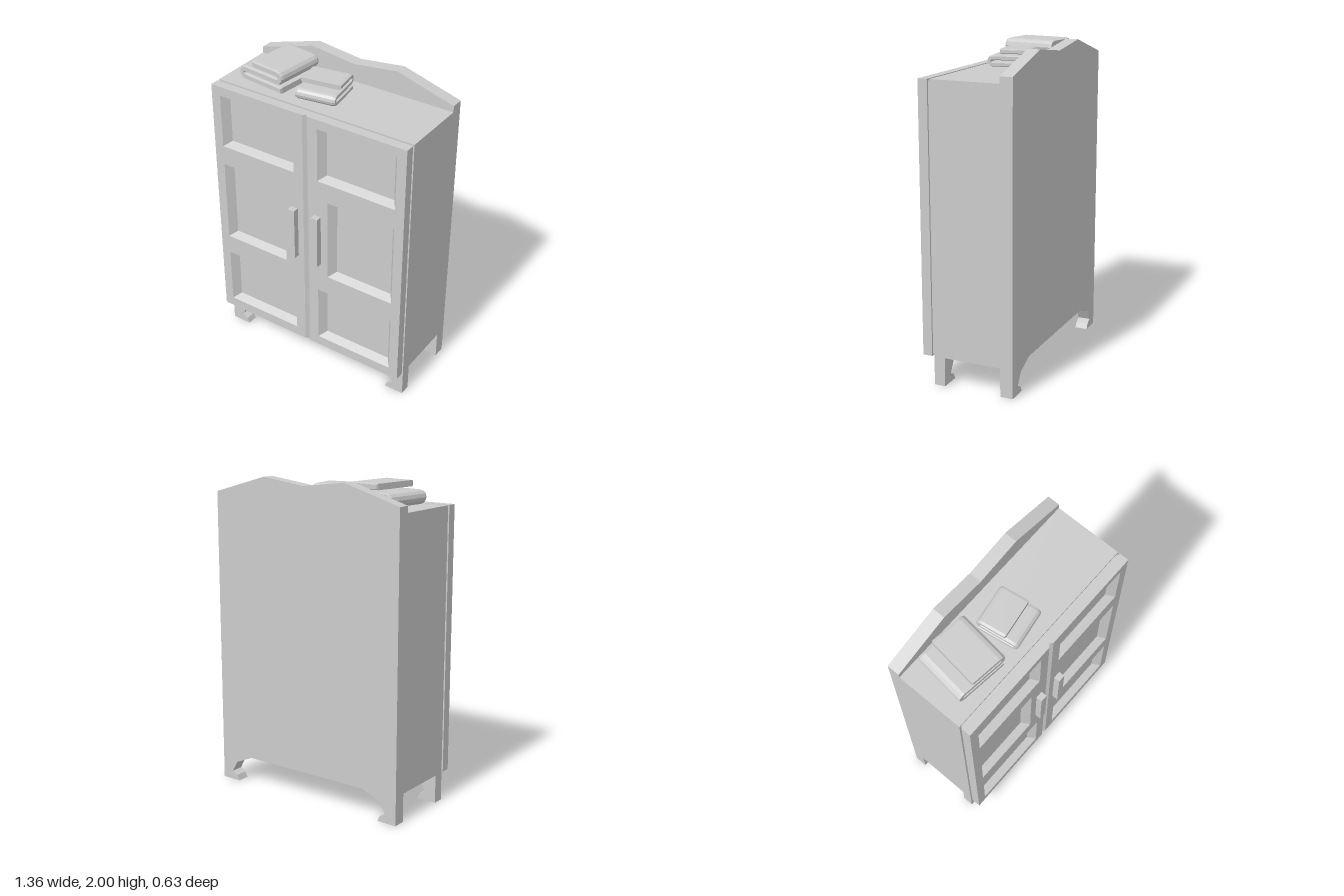
import * as THREE from 'three';

const mat = new THREE.MeshStandardMaterial({ color: 0xcccccc, flatShading: true });

function add(parent, name, geometry) {
  const mesh = new THREE.Mesh(geometry, mat);
  mesh.name = name;
  parent.add(mesh);
  return mesh;
}

// Box given by its minimum and maximum corners
function span(x0, x1, y0, y1, z0, z1) {
  return new THREE.BoxGeometry(x1 - x0, y1 - y0, z1 - z0)
    .translate((x0 + x1) / 2, (y0 + y1) / 2, (z0 + z1) / 2);
}

const shapeOf = (pts) => new THREE.Shape(pts.map(([x, y]) => new THREE.Vector2(x, y)));

function slab(shape, z0, z1) {
  return new THREE.ExtrudeGeometry(shape, { depth: z1 - z0, bevelEnabled: false }).translate(0, 0, z0);
}

const W = 0.68, BASE = 0.18, TOP = 1.85;
const BACK = -0.315, FRONT = 0.275, DOOR_BACK = 0.215, RECESS = 0.225;

// Scrolled bracket foot, from the toe up to the apron (right-hand side)
const foot = [[0.55, 0], [0.566, 0.035], [0.605, 0.055], [0.566, 0.125], [0.44, BASE]];

// Four sloping faces leading down into a door panel
function panelBevel([x0, x1, y0, y1]) {
  const bx = 0.037, by = 0.027;
  const o = [[x0, y0], [x1, y0], [x1, y1], [x0, y1]].map(([x, y]) => [x, y, FRONT]);
  const n = [[x0 + bx, y0 + by], [x1 - bx, y0 + by], [x1 - bx, y1 - by], [x0 + bx, y1 - by]]
    .map(([x, y]) => [x, y, RECESS]);
  const pos = [];
  for (let i = 0; i < 4; i++) {
    const j = (i + 1) % 4;
    pos.push(...o[i], ...o[j], ...n[j], ...o[i], ...n[j], ...n[i]);
  }
  const g = new THREE.BufferGeometry();
  g.setAttribute('position', new THREE.Float32BufferAttribute(pos, 3));
  g.computeVertexNormals();
  return g;
}

// One door: pierced frame, backing, bevels, chamfered meeting edge and handle
function makeDoor(s) {
  const door = new THREE.Group();
  door.name = s > 0 ? 'leftDoor' : 'rightDoor';
  const sx = (a, b) => (s > 0 ? [a, b] : [-b, -a]);
  const panels = [
    [...sx(0.085, 0.618), 0.245, 0.63],
    [...sx(0.157, 0.618), 0.76, 1.31],
    [...sx(0.085, 0.618), 1.44, 1.79],
  ];
  const rect = ([a, b, c, d]) => [[a, c], [b, c], [b, d], [a, d]];
  const frame = shapeOf(rect([...sx(0.018, W), BASE, TOP]));
  for (const p of panels) {
    frame.holes.push(shapeOf(rect(p)));
    add(door, 'panelBevel', panelBevel(p));
  }
  add(door, 'doorFrame', slab(frame, RECESS, FRONT));
  add(door, 'doorBacking', span(...sx(0.018, W), BASE, TOP, DOOR_BACK, RECESS));

  // Plan outline (x, -z) extruded upwards
  const edge = shapeOf([[0, -DOOR_BACK], [0, -0.26], [s * 0.018, -FRONT], [s * 0.018, -DOOR_BACK]]);
  add(door, 'meetingEdge', slab(edge, 0, TOP - BASE).rotateX(-Math.PI / 2).translate(0, BASE, 0));

  add(door, 'handle', span(...sx(0.06, 0.108), 0.84, 1.19, FRONT, 0.315));
  return door;
}

// Cloth folded in three: a thick ribbon following a Z-shaped path, extruded
function makeCloth(name, w, h, depth) {
  const t = h * 0.27, gap = (h - t) / 2, r = gap / 2;
  const line = [[-w / 2 + w * 0.3, h - t / 2]];
  const arc = (cx, cy, dir) => {
    for (let i = 0; i <= 6; i++) {
      const a = Math.PI / 2 - (Math.PI * i) / 6;
      line.push([cx + dir * r * Math.cos(a), cy + r * Math.sin(a)]);
    }
  };
  arc(w / 2 - r - t / 2, h - t / 2 - r, 1);
  arc(-w / 2 + r + t / 2, t / 2 + r, -1);
  line.push([w / 2 - 0.01, t / 2]);

  const left = [], right = [];
  line.forEach(([x, y], i) => {
    const a = line[Math.max(i - 1, 0)], b = line[Math.min(i + 1, line.length - 1)];
    const len = Math.hypot(b[0] - a[0], b[1] - a[1]);
    const nx = (-(b[1] - a[1]) / len) * t / 2, ny = ((b[0] - a[0]) / len) * t / 2;
    left.push([x + nx, y + ny]);
    right.unshift([x - nx, y - ny]);
  });
  const bt = 0.015, bs = 0.005;
  const g = new THREE.ExtrudeGeometry(shapeOf([...left, ...right]), {
    depth: depth - 2 * bt, bevelThickness: bt, bevelSize: bs, bevelOffset: -bs, bevelSegments: 1,
  }).translate(0, 0, -depth / 2 + bt);
  const mesh = new THREE.Mesh(g, mat);
  mesh.name = name;
  return mesh;
}

export function createModel() {
  const model = new THREE.Group();
  model.name = 'wardrobe';

  // Carcass and the narrow recessed strip behind the doors
  add(model, 'carcass', span(-W, W, BASE, TOP, -0.235, 0.2));
  add(model, 'shadowGap', span(-W + 0.012, W - 0.012, BASE + 0.012, TOP - 0.012, 0.2, DOOR_BACK));

  // Back board with wavy crest and integral rear feet
  const half = [[W, 0], [W, 1.89], [0.3, 2]];
  const mirror = (pts) => pts.map(([x, y]) => [-x, y]).reverse();
  const rightSide = [...[...foot].reverse(), ...half];
  add(model, 'backBoard', slab(shapeOf([...rightSide, [0, 1.963], ...mirror(rightSide)]), BACK, -0.235));

  // Front feet
  for (const s of [1, -1]) {
    const pts = [...foot, [W, BASE], [W, 0]].map(([x, y]) => [s * x, y]);
    add(model, s > 0 ? 'frontLeftFoot' : 'frontRightFoot', slab(shapeOf(pts), 0.13, 0.2));
  }

  model.add(makeDoor(1), makeDoor(-1));

  // Folded cloths on top
  const big = makeCloth('largeFoldedCloth', 0.345, 0.137, 0.33);
  big.position.set(-0.396, TOP + 0.006, -0.028);
  big.rotation.y = -0.115;
  const small = makeCloth('smallFoldedCloth', 0.27, 0.108, 0.255);
  small.position.set(-0.046, TOP + 0.005, 0.006);
  small.rotation.y = Math.PI / 2 + 0.155;
  model.add(big, small);

  return model;
}
